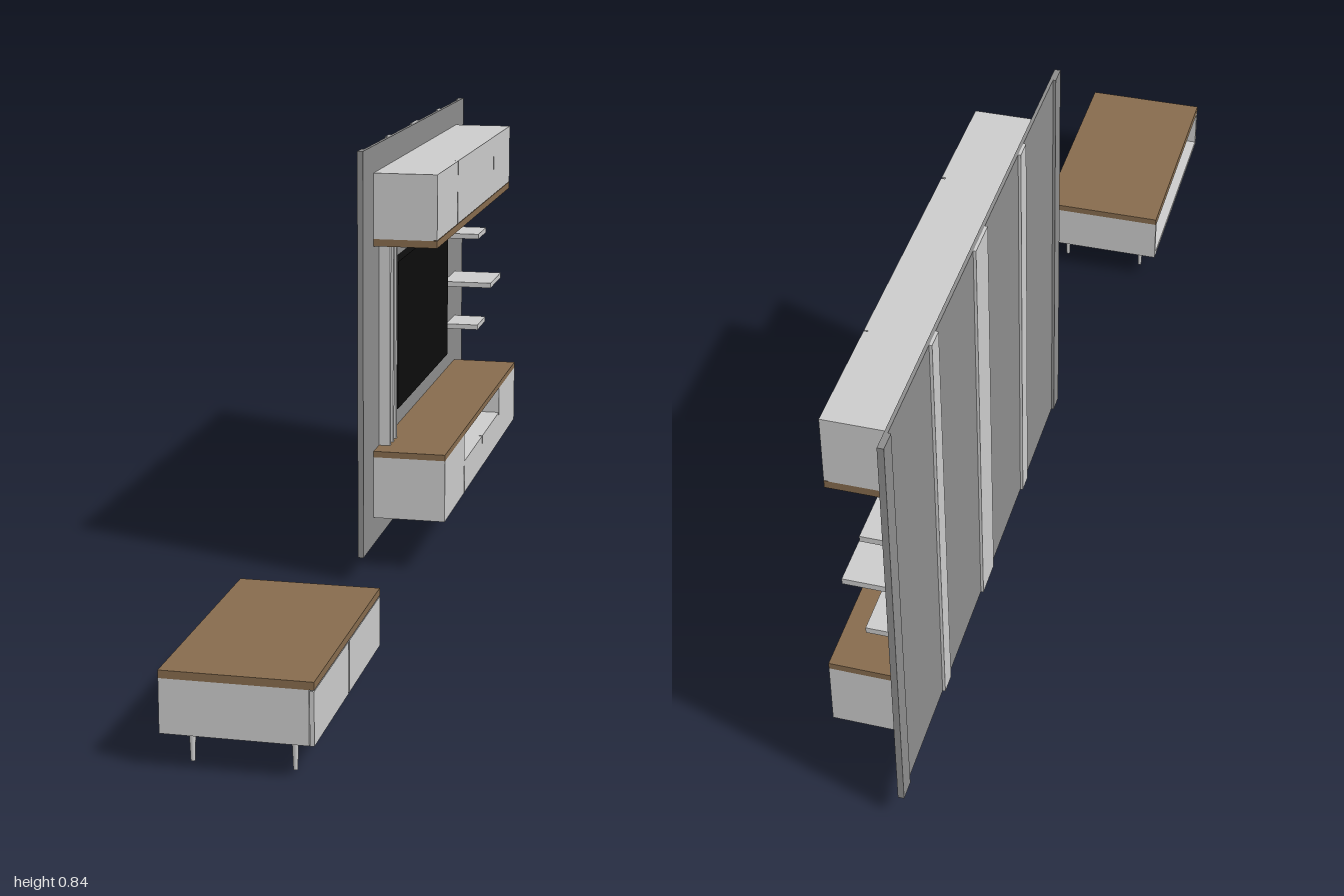
import * as THREE from 'three';

export function createModel() {
  const model = new THREE.Group();
  const material = (name, color) => {
    const m = new THREE.MeshStandardMaterial({ color });
    m.name = name;
    return m;
  };
  const white = material('white lacquer', 0xcbcbcb);
  const grey = material('grey panel', 0x8c8c8c);
  const wood = material('brown wood', 0x866b4d);
  const black = material('black screen', 0x0c0c0c);

  const group = (name) => {
    const g = new THREE.Group();
    g.name = name;
    model.add(g);
    return g;
  };
  // Box given by its limits on each axis
  const box = (parent, name, mat, [x0, x1], [y0, y1], [z0, z1]) => {
    const m = new THREE.Mesh(new THREE.BoxGeometry(x1 - x0, y1 - y0, z1 - z0), mat);
    m.name = name;
    m.position.set((x0 + x1) / 2, (y0 + y1) / 2, (z0 + z1) / 2);
    parent.add(m);
  };

  // Wall panel with battens on its back
  const wall = group('wallPanel');
  box(wall, 'panel', grey, [-0.026, -0.02], [0.049, 0.838], [-1, 0.045]);
  for (const [z0, z1] of [[-1, -0.965], [0.01, 0.045]])
    box(wall, 'edgeBatten', grey, [-0.031, -0.026], [0.049, 0.838], [z0, z1]);
  for (const [z, w] of [[-0.741, 0.035], [-0.478, 0.07], [-0.215, 0.035]])
    box(wall, 'backBatten', white, [-0.031, -0.026], [0.049, 0.838], [z - w / 2, z + w / 2]);

  // Hanging cabinet: carcass, three doors and a wooden base
  const zCab = [-0.908, -0.046];
  const upper = group('upperCabinet');
  box(upper, 'carcass', white, [-0.02, 0.097], [0.659, 0.786], zCab);
  box(upper, 'woodBase', wood, [-0.02, 0.104], [0.645, 0.659], zCab);
  for (const [z0, z1] of [[-0.908, -0.692], [-0.69, -0.263], [-0.259, -0.046]])
    box(upper, 'door', white, [0.097, 0.104], [0.66, 0.786], [z0, z1]);

  // Lower cabinet: wooden top over side blocks, drawers and an open niche
  const lower = group('lowerCabinet');
  const nicheY = 0.171;
  box(lower, 'woodTop', wood, [-0.02, 0.122], [0.227, 0.239], zCab);
  for (const [z0, z1] of [[-0.908, -0.69], [-0.261, -0.046]])
    box(lower, 'sideBlock', white, [-0.02, 0.115], [0.104, 0.227], [z0, z1]);
  box(lower, 'drawerBlock', white, [-0.02, 0.115], [0.104, nicheY], [-0.69, -0.261]);
  box(lower, 'rightDoor', white, [0.115, 0.122], [0.104, 0.227], [-0.908, -0.69]);
  box(lower, 'leftDoor', white, [0.115, 0.122], [0.104, 0.227], [-0.259, -0.046]);
  box(lower, 'rightDrawer', white, [0.115, 0.122], [0.104, nicheY], [-0.689, -0.475]);
  box(lower, 'leftDrawer', white, [0.115, 0.122], [0.104, nicheY], [-0.472, -0.263]);

  // Screen, slats and shelves between the cabinets
  box(model, 'screen', black, [-0.02, -0.002], [0.291, 0.591], [-0.725, -0.19]);
  for (const z of [-0.1, -0.13, -0.158])
    box(model, 'slat', white, [-0.02, 0.002], [0.239, 0.645], [z - 0.005, z + 0.005]);
  for (const [y, x, z] of [[0.333, 0.052, -0.805], [0.437, 0.087, -0.77], [0.541, 0.052, -0.805]])
    box(model, 'shelf', white, [-0.02, x], [y, y + 0.011], [-0.908, z]);

  // Low table: two drawer fronts, open at the back
  const table = group('lowTable');
  const zTab = [0.543, 1], y0 = 0.0565, y1 = 0.146, t = 0.009;
  box(table, 'woodTop', wood, [-0.123, 0.122], [y1, 0.159], zTab);
  box(table, 'floor', white, [-0.123, 0.114], [y0, y0 + t], zTab);
  box(table, 'backBoard', white, [0.106, 0.114], [y0 + t, y1], [zTab[0] + t, zTab[1] - t]);
  box(table, 'ceiling', white, [-0.123, 0.106], [y1 - 0.004, y1], [zTab[0] + t, zTab[1] - t]);
  for (const z of [zTab[0], zTab[1] - t])
    box(table, 'side', white, [-0.123, 0.114], [y0 + t, y1], [z, z + t]);
  for (const [z0, z1] of [[0.543, 0.769], [0.774, 1]])
    box(table, 'drawerFront', white, [0.115, 0.122], [y0, y1 - 0.002], [z0, z1]);

  // Tapered legs on L-shaped brackets pointing inward
  const legShape = new THREE.CylinderGeometry(0.0055, 0.0035, 0.052, 16);
  for (const sx of [-1, 1]) {
    for (const [z, sz] of [[0.585, 1], [0.96, -1]]) {
      const x = sx * 0.082;
      const leg = new THREE.Mesh(legShape, white);
      leg.name = 'leg';
      leg.position.set(x, 0.026, z);
      table.add(leg);
      const span = (a, b) => [Math.min(a, b), Math.max(a, b)];
      const y = [0.0515, y0];
      box(table, 'bracketAcross', white, span(x + sx * 0.006, x - sx * 0.046), y, [z - 0.006, z + 0.006]);
      box(table, 'bracketAlong', white, [x - 0.006, x + 0.006], y, span(z + sz * 0.006, z + sz * 0.046));
    }
  }
  return model;
}
